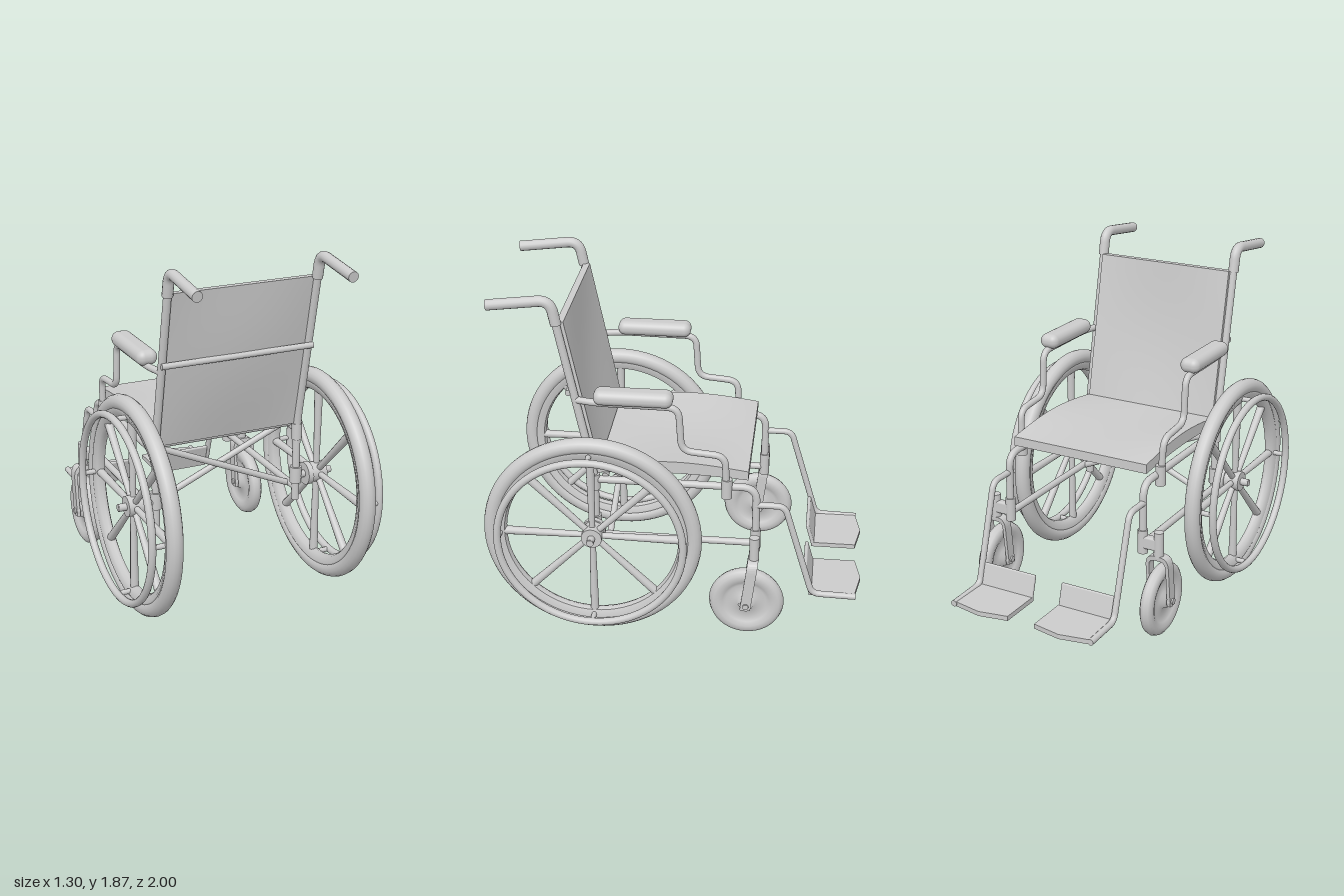
import * as THREE from 'three';
import { mergeGeometries } from 'three/addons/utils/BufferGeometryUtils.js';
import { RoundedBoxGeometry } from 'three/addons/geometries/RoundedBoxGeometry.js';

const grey = new THREE.MeshStandardMaterial({ color: 0xcccccc, side: THREE.DoubleSide });
const V = (p) => new THREE.Vector3(...p);

function add(parent, name, geo, pos = [0, 0, 0]) {
  const mesh = new THREE.Mesh(geo, grey);
  mesh.name = name;
  mesh.position.set(...pos);
  parent.add(mesh);
  return mesh;
}

// Bent pipe with rounded corners and capped ends
function pipe(points, r, bend = 0.06) {
  const p = points.map(V), path = new THREE.CurvePath();
  let last = p[0];
  for (let i = 1; i < p.length - 1; i++) {
    const toPrev = p[i - 1].clone().sub(p[i]), toNext = p[i + 1].clone().sub(p[i]);
    const d = Math.min(bend, toPrev.length() * 0.48, toNext.length() * 0.48);
    const a = p[i].clone().addScaledVector(toPrev.normalize(), d);
    const b = p[i].clone().addScaledVector(toNext.normalize(), d);
    path.add(new THREE.LineCurve3(last, a));
    path.add(new THREE.QuadraticBezierCurve3(a, p[i], b));
    last = b;
  }
  path.add(new THREE.LineCurve3(last, p[p.length - 1]));
  const caps = [0, 1].map((t) => {
    const dir = path.getTangentAt(t).multiplyScalar(t ? 1 : -1), at = path.getPointAt(t);
    const turn = new THREE.Quaternion().setFromUnitVectors(V([0, 0, 1]), dir);
    return new THREE.CircleGeometry(r, 14).applyQuaternion(turn).translate(at.x, at.y, at.z);
  });
  return mergeGeometries([new THREE.TubeGeometry(path, p.length > 2 ? 24 * p.length : 1, r, 14), ...caps]);
}

// Rod along x
const rodX = (r, len, sides = 20) => new THREE.CylinderGeometry(r, r, len, sides).rotateZ(Math.PI / 2);
// Ring around the x axis
const ringX = (R, r) => new THREE.TorusGeometry(R, r, 14, 72).rotateY(Math.PI / 2);
// Box whose vertices are moved by a rule
function shapedBox(size, segs, rule) {
  const g = new THREE.BoxGeometry(...size, ...segs), a = g.attributes.position;
  for (let i = 0; i < a.count; i++) a.setXYZ(i, ...rule(a.getX(i), a.getY(i), a.getZ(i)));
  g.computeVertexNormals();
  return g;
}

function rearWheel(s) {
  const g = new THREE.Group();
  g.name = 'rearWheel';
  add(g, 'tyre', ringX(0.535, 0.043));
  const rim = [[0.465, -0.022], [0.5, -0.036], [0.515, -0.03], [0.515, 0.03], [0.5, 0.036], [0.465, 0.022], [0.455, 0], [0.465, -0.022]];
  add(g, 'rim', new THREE.LatheGeometry(rim.map((p) => new THREE.Vector2(...p)), 72).rotateZ(Math.PI / 2));
  for (let i = 0; i < 8; i++) {
    const spoke = new THREE.CylinderGeometry(0.023, 0.016, 0.44, 12).translate(0, 0.25, 0).rotateX(i * Math.PI / 4);
    add(g, 'spoke', spoke);
  }
  add(g, 'hub', rodX(0.055, 0.1), [-s * 0.01, 0, 0]);
  add(g, 'hubFlange', rodX(0.062, 0.03), [-s * 0.06, 0, 0]);
  add(g, 'axleNut', rodX(0.02, 0.05, 6), [s * 0.06, 0, 0]);
  // Outer push ring on four pegs
  add(g, 'pushRim', ringX(0.488, 0.02), [s * 0.098, 0, 0]);
  for (let i = 0; i < 4; i++) {
    const a = i * Math.PI / 2;
    add(g, 'pushRimPeg', rodX(0.014, 0.1, 12), [s * 0.05, 0.488 * Math.cos(a), 0.488 * Math.sin(a)]);
  }
  g.position.set(s * 0.533, 0.579, 0.425);
  return g;
}

function caster(s) {
  const g = new THREE.Group();
  g.name = 'caster';
  // Rounded tyre, dished web and hub
  const half = [[0.001, 0.04], [0.04, 0.04], [0.05, 0.018], [0.105, 0.014], [0.125, 0.026], [0.15, 0.036], [0.175, 0.034], [0.192, 0.022], [0.2, 0]];
  const profile = [...half, ...half.slice(0, -1).reverse().map(([r, x]) => [r, -x])].reverse();
  add(g, 'casterWheel', new THREE.LatheGeometry(profile.map((p) => new THREE.Vector2(...p)), 40).rotateZ(Math.PI / 2));
  add(g, 'casterAxle', rodX(0.016, 0.15));
  for (const x of [-0.056, 0.056]) add(g, 'axleCap', rodX(0.03, 0.02), [x, 0, 0]);
  // Inverted U fork in flat bar
  const fork = new THREE.Shape();
  fork.moveTo(-0.066, -0.025).lineTo(-0.066, 0.2).quadraticCurveTo(-0.066, 0.265, -0.02, 0.265);
  fork.lineTo(0.02, 0.265).quadraticCurveTo(0.066, 0.265, 0.066, 0.2).lineTo(0.066, -0.025);
  fork.lineTo(0.048, -0.025).lineTo(0.048, 0.2).quadraticCurveTo(0.048, 0.24, 0.015, 0.24);
  fork.lineTo(-0.015, 0.24).quadraticCurveTo(-0.048, 0.24, -0.048, 0.2).lineTo(-0.048, -0.025);
  const bar = new THREE.ExtrudeGeometry(fork, { depth: 0.056, bevelEnabled: false, curveSegments: 8 });
  const pos = bar.attributes.position;
  for (let i = 0; i < pos.count; i++) pos.setZ(i, pos.getZ(i) - 0.028 - 0.12 * pos.getY(i));
  bar.computeVertexNormals();
  add(g, 'casterFork', bar);
  add(g, 'casterStem', new THREE.CylinderGeometry(0.026, 0.026, 0.14, 16), [0, 0.325, -0.035]);
  add(g, 'stemBracket', new RoundedBoxGeometry(0.1, 0.07, 0.045, 2, 0.012), [-s * 0.045, 0.325, -0.035]);
  g.position.set(s * 0.5, 0.205, -0.39);
  return g;
}

function footrest(s) {
  const g = new THREE.Group();
  g.name = 'footrest';
  const x = s * 0.41;
  add(g, 'hanger', pipe([[x, 0.745, -0.42], [x, 0.745, -0.575], [x, 0.21, -0.735], [x, 0.205, -0.97]], 0.017, 0.045));
  // Plate with a shallow point at the toe
  const plate = new THREE.Shape();
  plate.moveTo(-0.16, 0.72).lineTo(0.16, 0.72).lineTo(0.16, 0.965).lineTo(0, 0.995).lineTo(-0.16, 0.965).closePath();
  const geo = new THREE.ExtrudeGeometry(plate, { depth: 0.026, bevelEnabled: false }).rotateX(-Math.PI / 2);
  add(g, 'footPlate', geo, [s * 0.24, 0.19, 0]);
  const heel = add(g, 'heelPlate', new RoundedBoxGeometry(0.32, 0.145, 0.02, 2, 0.008), [s * 0.24, 0.258, -0.712]);
  heel.rotation.x = 0.28;
  return g;
}

function armrest(s) {
  const g = new THREE.Group();
  g.name = 'armrest';
  const x = s * 0.435;
  add(g, 'armTube', pipe([[s * 0.41, 1.31, 0.51], [x, 1.31, 0.4], [x, 1.305, -0.02], [x, 1.06, -0.035],
    [x, 1.04, -0.26], [s * 0.425, 0.8, -0.27]], 0.018, 0.06));
  add(g, 'armPad', new RoundedBoxGeometry(0.11, 0.08, 0.405, 5, 0.038), [s * 0.43, 1.35, 0.21]);
  add(g, 'armSocket', new THREE.CylinderGeometry(0.028, 0.028, 0.11, 16), [s * 0.425, 0.845, -0.27]);
  return g;
}

function sideFrame(s) {
  const g = new THREE.Group();
  g.name = 'sideFrame';
  const x = s * 0.407;
  add(g, 'backCane', pipe([[x, 0.44, 0.425], [x, 0.88, 0.425], [x, 1.75, 0.6]], 0.021, 0.1));
  add(g, 'pushHandle', pipe([[x, 1.72, 0.594], [x, 1.85, 0.62], [x, 1.81, 0.942]], 0.028, 0.09));
  add(g, 'seatRail', pipe([[x, 0.847, 0.425], [x, 0.847, -0.425], [x, 0.5, -0.425]], 0.02, 0.08));
  add(g, 'lowerRail', pipe([[x, 0.51, 0.425], [x, 0.51, -0.425]], 0.019));
  add(g, 'frontSleeve', new THREE.CylinderGeometry(0.027, 0.027, 0.13, 16), [x, 0.53, -0.425]);
  add(g, 'axleCollar', new THREE.CylinderGeometry(0.032, 0.032, 0.09, 16), [x, 0.585, 0.425]);
  add(g, 'railCollar', new THREE.CylinderGeometry(0.028, 0.028, 0.09, 16), [x, 0.835, 0.425]);
  add(g, 'axle', rodX(0.02, 0.21, 16), [s * 0.51, 0.579, 0.425]);
  return g;
}

export function createModel() {
  const model = new THREE.Group();
  model.name = 'wheelchair';
  for (const s of [1, -1]) {
    model.add(rearWheel(s), caster(s), footrest(s), armrest(s), sideFrame(s));
    // Folding cross brace
    add(model, 'crossBrace', pipe([[-s * 0.405, 0.86, 0.335 + s * 0.018], [s * 0.405, 0.505, 0.335 + s * 0.018]], 0.017));
  }
  add(model, 'rearSeatBar', rodX(0.018, 0.81), [0, 0.865, 0.37]);
  add(model, 'backBar', rodX(0.016, 0.84), [0, 1.35, 0.545]);

  // Seat: crowned front to back, dipping in the middle
  add(model, 'seat', shapedBox([0.8, 0.05, 0.78], [16, 1, 16], (x, y, z) => {
    const crown = Math.cos(z / 0.39 * Math.PI / 2), across = Math.cos(x / 0.4 * Math.PI / 2);
    const lift = crown * (0.035 - 0.03 * across);
    return [x, 0.91 + y + (y > 0 ? lift : lift * 0.5), z + 0.01];
  }));

  // Backrest: leaning panel, slightly hollowed between the canes
  add(model, 'backrest', shapedBox([0.79, 0.85, 0.035], [16, 12, 1], (x, y, z) => {
    const hollow = 0.025 * Math.cos(x / 0.395 * Math.PI / 2) * Math.cos(y / 0.425 * Math.PI / 2);
    return [x, y + 1.305, z + 0.492 + y * 0.2 + hollow];
  }));
  return model;
}
